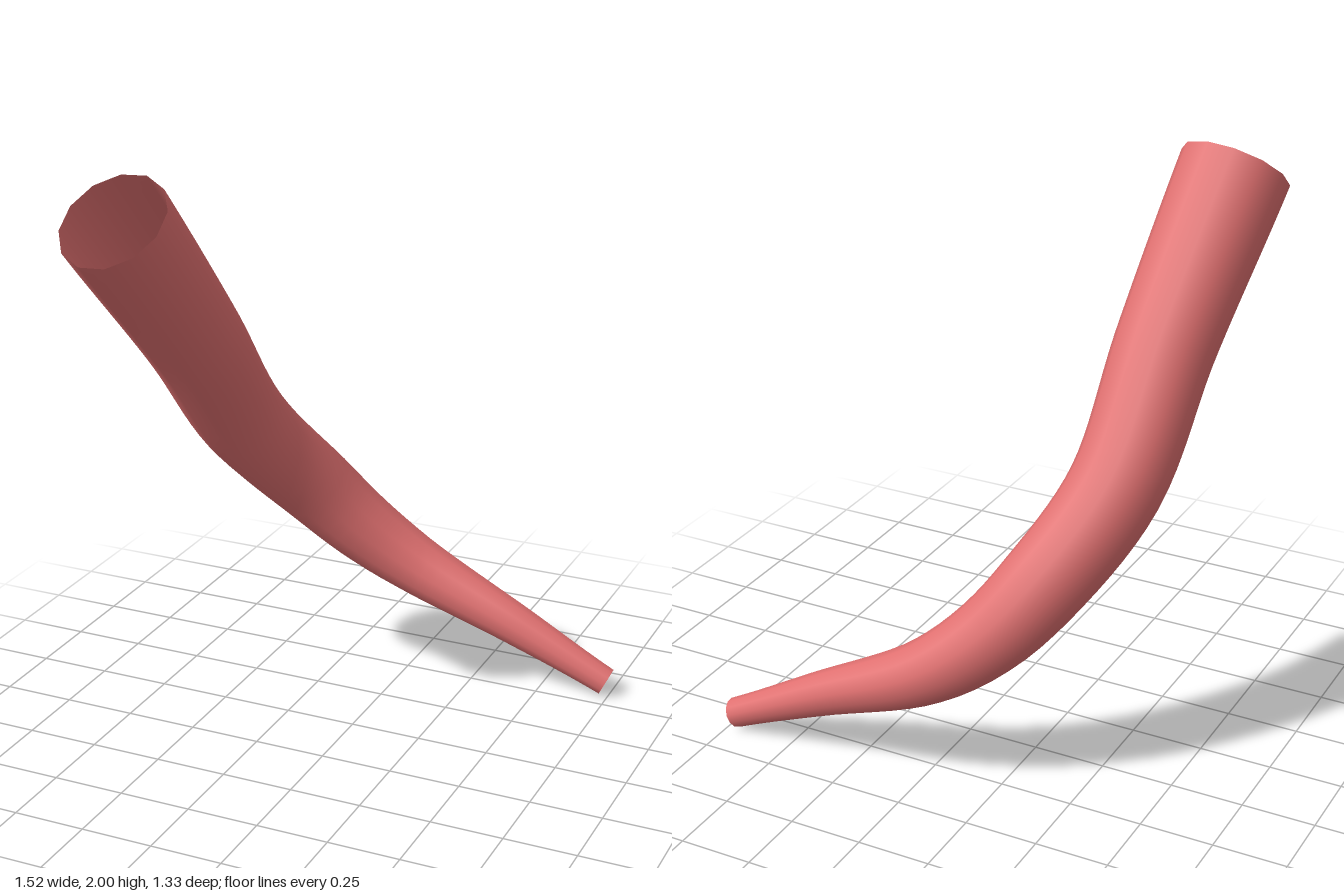
import * as THREE from 'three';

// centre line of the horn: x, y, z and the radius there
const STATIONS = [
  [-0.58, 1.885, 0.52, 0.188],
  [-0.52, 1.4, 0.13, 0.168],
  [-0.485, 1.0, -0.175, 0.156],
  [-0.33, 0.71, -0.40, 0.144],
  [-0.19, 0.54, -0.495, 0.13],
  [0, 0.395, -0.555, 0.11],
  [0.4, 0.21, -0.577, 0.076],
  [0.735, 0.05, -0.59, 0.052],
];
const RINGS = 48, SIDES = 12;

// tube whose radius follows a spline along its path, open at both ends
function taperedTube(path, radii) {
  const geo = new THREE.TubeGeometry(path, RINGS, 1, SIDES, false);
  const { normals, binormals } = geo;
  const pos = geo.attributes.position, nor = geo.attributes.normal;
  const dir = new THREE.Vector3(), p = new THREE.Vector3();
  for (let i = 0; i <= RINGS; i++) {
    const centre = path.getPointAt(i / RINGS);
    const radius = radii.getPoint(path.getUtoTmapping(i / RINGS)).y;
    for (let j = 0; j <= SIDES; j++) {
      // half a side of turn puts a flat at the top of the rim
      const a = ((j + 0.5) / SIDES) * Math.PI * 2, k = i * (SIDES + 1) + j;
      dir.copy(normals[i]).multiplyScalar(-Math.cos(a)).addScaledVector(binormals[i], Math.sin(a));
      p.copy(centre).addScaledVector(dir, radius);
      pos.setXYZ(k, p.x, p.y, p.z);
      nor.setXYZ(k, dir.x, dir.y, dir.z);
    }
  }
  return geo;
}

export function createModel() {
  const group = new THREE.Group();
  const path = new THREE.CatmullRomCurve3(STATIONS.map(([x, y, z]) => new THREE.Vector3(x, y, z)));
  const radii = new THREE.SplineCurve(STATIONS.map((s, i) => new THREE.Vector2(i, s[3])));

  // curved, hollow horn
  const material = new THREE.MeshStandardMaterial({ color: 0xe07070, side: THREE.DoubleSide });
  const horn = new THREE.Mesh(taperedTube(path, radii), material);
  horn.name = 'curvedHorn';
  group.add(horn);
  return group;
}
